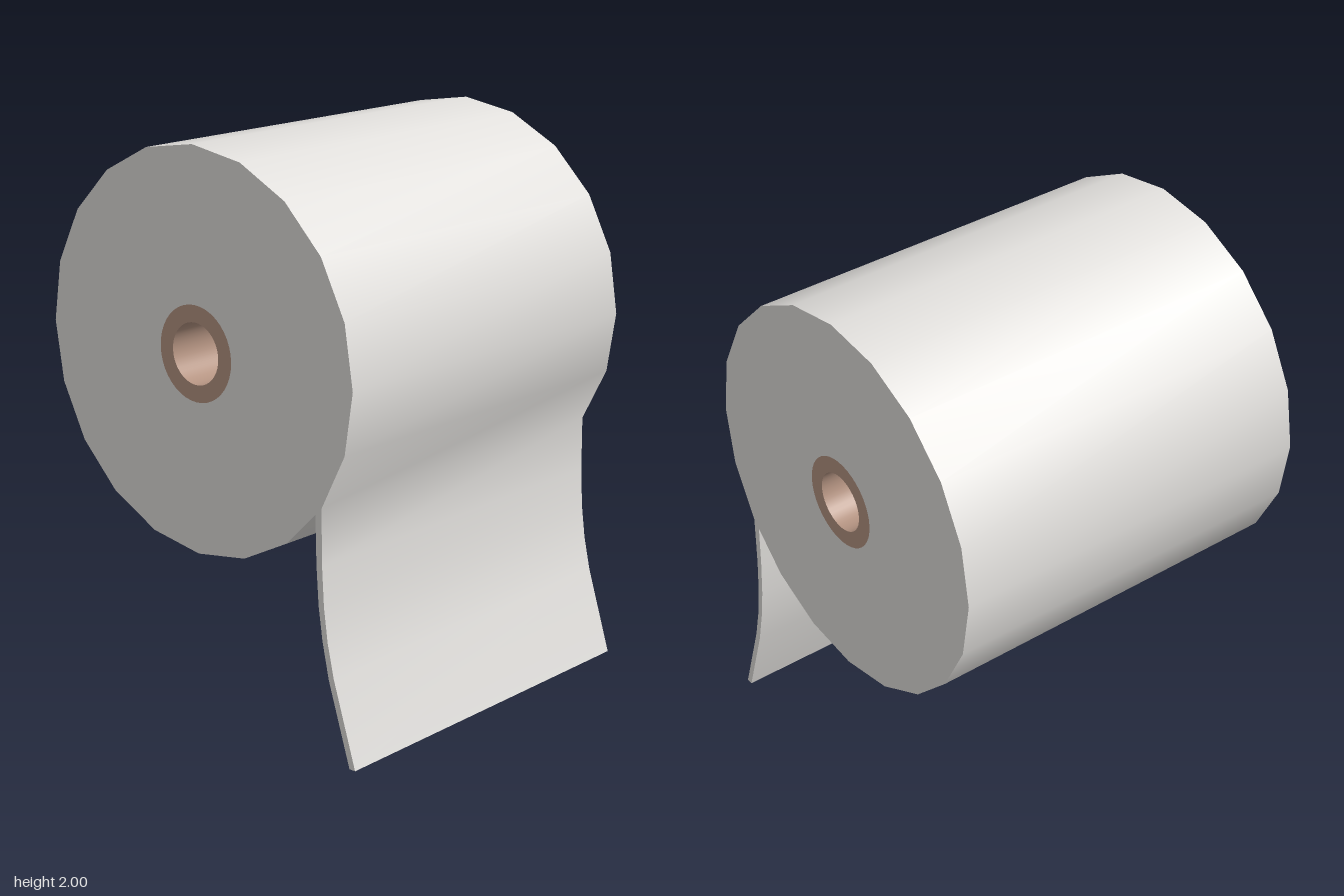
import * as THREE from 'three';
import { toCreasedNormals } from 'three/addons/utils/BufferGeometryUtils.js';

const CENTER_Y = 1.293, CENTER_Z = -0.003, RADIUS = 0.707, WIDTH = 1.41;
const CORE_OUTER = 0.168, CORE_INNER = 0.108;

// Regular polygon outline around the roll axis, as (z, y) points
function ring(radius, sides) {
  return Array.from({ length: sides }, (_, i) => {
    const a = (i / sides) * Math.PI * 2;
    return new THREE.Vector2(CENTER_Z + radius * Math.cos(a), CENTER_Y + radius * Math.sin(a));
  });
}

// Extrude a (z, y) outline with a round hole across the width
function extrudeAcross(outline, holeRadius) {
  const shape = new THREE.Shape(outline);
  shape.holes.push(new THREE.Path(ring(holeRadius, 40).reverse()));
  const geometry = new THREE.ExtrudeGeometry(shape, { depth: WIDTH, bevelEnabled: false });
  geometry.translate(0, 0, -WIDTH / 2);
  geometry.rotateY(-Math.PI / 2);
  return toCreasedNormals(geometry, Math.PI / 5);
}

export function createModel() {
  const paper = new THREE.MeshStandardMaterial({ color: 0xe2e0dd });
  paper.name = 'paper';
  const cardboard = new THREE.MeshStandardMaterial({ color: 0xb59482 });
  cardboard.name = 'cardboard';

  // Twenty-sided roll; the loose sheet leaves it at the front, 36 degrees below the axis
  const polygon = ring(RADIUS, 20);
  const roll = [...polygon.slice(0, 18), ];
  const sheet = [
    [0.542, 0.85], [0.546, 0.68], [0.555, 0.54], [0.572, 0.42], [0.6, 0.29], [0.692, 0],
    [0.717, 0], [0.622, 0.3], [0.595, 0.42], [0.579, 0.54], [0.571, 0.68],
  ].map(([z, y]) => new THREE.Vector2(z, y));
  const outline = [...roll, ...sheet, polygon[18], polygon[19]];

  const paperRoll = new THREE.Mesh(extrudeAcross(outline, CORE_OUTER), paper);
  paperRoll.name = 'paperRollWithSheet';

  // Hollow cardboard tube
  const core = new THREE.Mesh(extrudeAcross(ring(CORE_OUTER, 40), CORE_INNER), cardboard);
  core.name = 'cardboardCore';

  const model = new THREE.Group();
  model.name = 'paperRoll';
  model.add(paperRoll, core);
  return model;
}
